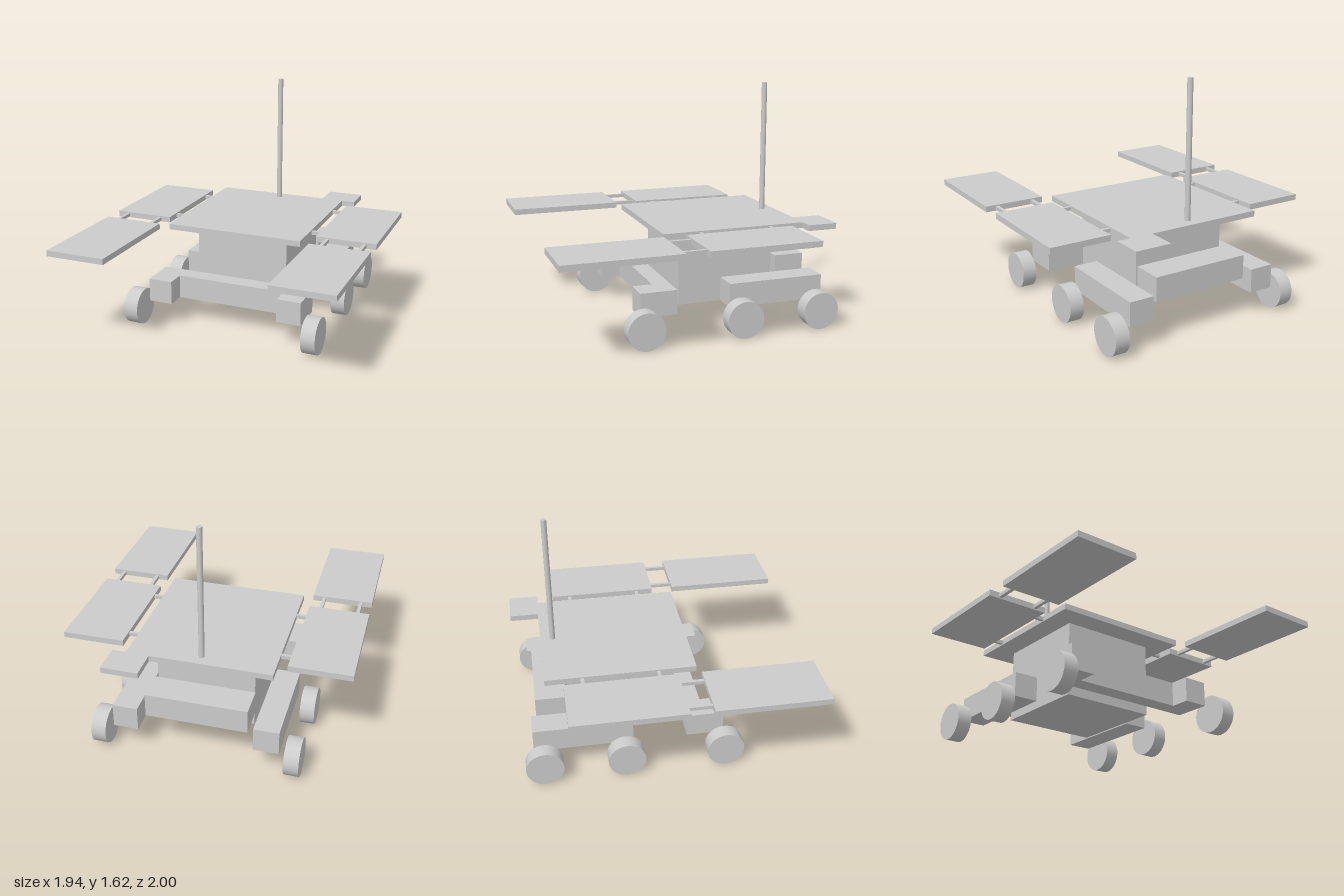
import * as THREE from 'three';

const material = new THREE.MeshStandardMaterial({ color: 0xcccccc });

export function createModel() {
  const model = new THREE.Group();

  const add = (name, geometry) => {
    const mesh = new THREE.Mesh(geometry, material);
    mesh.name = name;
    model.add(mesh);
    return mesh;
  };

  // Box given by its limits on each axis
  const box = (name, x0, x1, y0, y1, z0, z1) =>
    add(name, new THREE.BoxGeometry(x1 - x0, y1 - y0, z1 - z0))
      .position.set((x0 + x1) / 2, (y0 + y1) / 2, (z0 + z1) / 2);

  // Box on one side, limits measured outward from the centre plane
  const sideBox = (name, side, x0, x1, ...rest) =>
    box(name, Math.min(side * x0, side * x1), Math.max(side * x0, side * x1), ...rest);

  // Flat plate cut from an outline of [x, z] points
  const plate = (name, outline, y0, y1) => {
    const shape = new THREE.Shape(outline.map(([x, z]) => new THREE.Vector2(x, -z)));
    const geometry = new THREE.ExtrudeGeometry(shape, { depth: y1 - y0, bevelEnabled: false });
    geometry.rotateX(-Math.PI / 2);
    add(name, geometry).position.y = y0;
  };

  // Central body and the equipment box behind it
  box('body', -0.335, 0.335, 0.155, 0.66, -0.63, 0.053);
  box('rearBox', -0.345, 0.345, 0.275, 0.44, -0.873, -0.66);

  // Solar deck with its offset rear tab
  plate('deck', [
    [-0.487, 0.213], [0.485, 0.213], [0.485, -0.793], [0.58, -0.793],
    [0.58, -1], [0.33, -1], [0.33, -0.8], [-0.487, -0.8],
  ], 0.66, 0.7);

  // Front axle beam with forward arms
  plate('frontBeam', [
    [-0.56, 0.395], [-0.39, 0.395], [-0.39, 0.262], [0.39, 0.262],
    [0.39, 0.395], [0.56, 0.395], [0.56, 0.142], [-0.56, 0.142],
  ], 0.175, 0.34);

  // Mast
  add('mast', new THREE.CylinderGeometry(0.019, 0.019, 0.92, 24)).position.set(0, 1.16, -0.715);

  const wheelGeometry = new THREE.CylinderGeometry(0.127, 0.127, 0.1, 48).rotateZ(Math.PI / 2);

  for (const side of [-1, 1]) {
    const label = side > 0 ? 'left' : 'right';

    // Rocker beam carrying the middle and rear wheels
    sideBox(label + 'Rocker', side, 0.39, 0.56, 0.175, 0.34, -0.908, -0.23);

    // Wheels
    [['Front', 0.392], ['Middle', -0.29], ['Rear', -0.842]].forEach(([place, z]) =>
      add(label + place + 'Wheel', wheelGeometry).position.set(side * 0.65, 0.127, z));

    // Folding solar panels
    sideBox(label + 'RearPanel', side, 0.553, 0.972, 0.66, 0.7, -0.68, 0.078);
    sideBox(label + 'FrontPanel', side, 0.553, 0.972, 0.66, 0.7, 0.233, 1);

    // Hinge bars from deck to panel, then from panel to panel
    for (const z of [-0.552, -0.045])
      sideBox(label + 'DeckHinge', side, 0.48, 0.56, 0.668, 0.692, z - 0.012, z + 0.012);
    for (const x of [0.632, 0.892])
      sideBox(label + 'PanelHinge', side, x - 0.012, x + 0.012, 0.668, 0.692, 0.07, 0.24);
  }

  return model;
}
